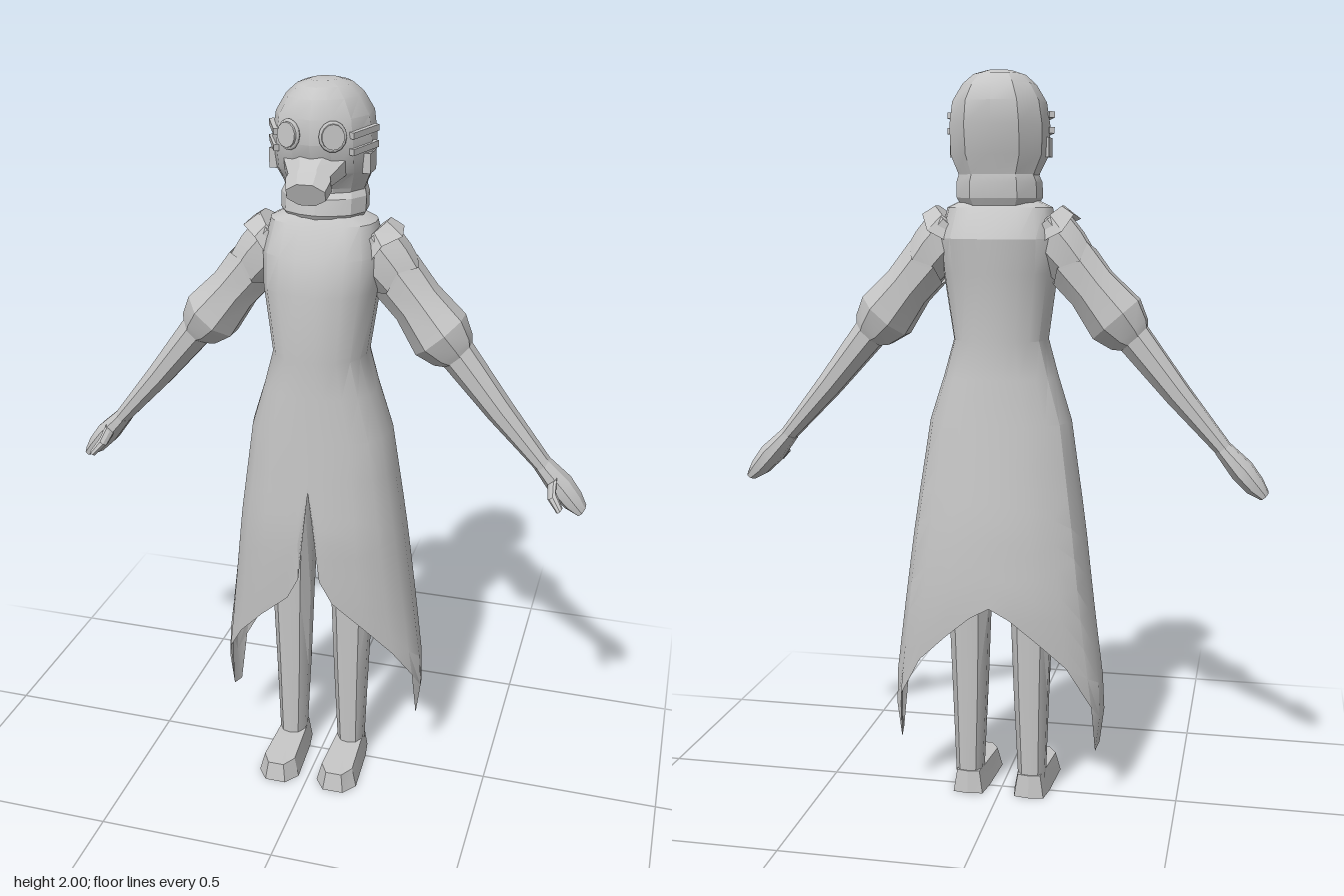
import * as THREE from 'three';
import { toCreasedNormals } from 'three/addons/utils/BufferGeometryUtils.js';

const grey = new THREE.MeshStandardMaterial({ color: 0xc6c6c6, side: THREE.DoubleSide });
grey.name = 'plain grey';

// Skin closed rings of [x, y, z] points, with optional caps
function loft(rings, { start = true, end = true, crease = 0.6 } = {}) {
  const pos = [], n = rings[0].length, last = rings.length - 1;
  const tri = (a, b, c) => pos.push(...a, ...b, ...c);
  for (let i = 0; i < last; i++) {
    for (let j = 0; j < n; j++) {
      const k = (j + 1) % n;
      const a = rings[i][j], b = rings[i][k], c = rings[i + 1][k], d = rings[i + 1][j];
      tri(a, b, c);
      tri(a, c, d);
    }
  }
  const middle = r => [0, 1, 2].map(k => r.reduce((s, p) => s + p[k], 0) / n);
  for (let j = 0; j < n; j++) {
    const k = (j + 1) % n;
    if (start) tri(middle(rings[0]), rings[0][k], rings[0][j]);
    if (end) tri(middle(rings[last]), rings[last][j], rings[last][k]);
  }
  const g = new THREE.BufferGeometry();
  g.setAttribute('position', new THREE.Float32BufferAttribute(pos, 3));
  g.computeVertexNormals();
  return toCreasedNormals(g, crease);
}

function add(parent, name, geometry) {
  const mesh = new THREE.Mesh(geometry, grey);
  mesh.name = name;
  parent.add(mesh);
  return mesh;
}

// Complete a half outline (front to back) into a full ring
const wholeRing = half => [...half, ...half.slice(1, -1).reverse().map(([u, ...r]) => [-u, ...r])];

// Horizontal ring from half width, front z and back z
const levelRing = (outline, [y, w, f, b]) =>
  outline.map(([u, v]) => [u * w, y, (f + b) / 2 + v * (f - b) / 2]);

// Body size at a height, interpolated between levels
function sizeAt(levels, y) {
  let i = 0;
  while (i < levels.length - 2 && y < levels[i + 1][0]) i++;
  const a = levels[i], b = levels[i + 1];
  const t = THREE.MathUtils.clamp((a[0] - y) / (a[0] - b[0]), 0, 1);
  return [y, ...[1, 2, 3].map(k => a[k] + (b[k] - a[k]) * t)];
}

// Long coat: outline columns carry their own hem height
function coat() {
  const columns = wholeRing([
    [0, 1, 0.93], [0.12, 0.995, 0.66], [0.25, 0.98, 0.59], [0.55, 0.89, 0.51], [0.8, 0.69, 0.42],
    [0.94, 0.42, 0.33], [1, 0.1, 0.17], [0.98, -0.3, 0.16], [0.9, -0.57, 0.3],
    [0.72, -0.77, 0.42], [0.45, -0.92, 0.5], [0.2, -0.985, 0.56], [0, -1, 0.59],
  ]);
  const levels = [
    [1.67, 0.1, 0.055, -0.1], [1.65, 0.14, 0.07, -0.12], [1.57, 0.158, 0.11, -0.16],
    [1.48, 0.152, 0.13, -0.15], [1.3, 0.127, 0.123, -0.127], [1.2, 0.155, 0.126, -0.135],
    [1.08, 0.193, 0.13, -0.148], [0.8, 0.235, 0.14, -0.18], [0.6, 0.26, 0.127, -0.19],
    [0.5, 0.273, 0.115, -0.183], [0.3, 0.3, 0.09, -0.16], [0.16, 0.283, 0.08, -0.15],
  ];
  const rings = levels.slice(0, 7).map(l => levelRing(columns, l));
  for (let i = 0; i <= 8; i++) {
    rings.push(columns.map(c => {
      const y = 0.97 + (c[2] - 0.97) * i / 8;
      return levelRing([c], sizeAt(levels, y))[0];
    }));
  }
  return loft(rings.reverse(), { start: false, crease: 0.5 });
}

// Eight-sided ring across the arm; jag pushes alternate points along it
function armRing([x, y, z, a, b, jag = 0]) {
  return Array.from({ length: 8 }, (_, i) => {
    const t = (i + 0.5) / 8 * Math.PI * 2;
    const p = Math.cos(t) * a * 1.08, q = -Math.sin(t) * b * 1.08, s = (i % 2 ? 1 : -1) * jag;
    return [x + p * 0.75 + s * 0.66, y + p * 0.66 - s * 0.75, z + q];
  });
}
const armPart = (sections, opts) => loft(sections.map(armRing), { crease: 0.4, ...opts });

function makeArm() {
  const arm = new THREE.Group();
  add(arm, 'shoulderSleeve', armPart([
    [0.115, 1.6, -0.035, 0.075, 0.065], [0.17, 1.54, -0.035, 0.07, 0.068],
    [0.215, 1.485, -0.035, 0.06, 0.06],
  ]));
  add(arm, 'shoulderFlap', armPart([
    [0.125, 1.615, -0.035, 0.06, 0.055], [0.15, 1.575, -0.035, 0.078, 0.075, 0.008],
  ], { end: false }));
  add(arm, 'elbowSleeve', armPart([
    [0.195, 1.505, -0.035, 0.07, 0.066, 0.012], [0.25, 1.44, -0.035, 0.065, 0.066],
    [0.315, 1.36, -0.03, 0.078, 0.08], [0.35, 1.32, -0.03, 0.06, 0.06],
    [0.365, 1.305, -0.03, 0.042, 0.048],
  ], { start: false }));
  add(arm, 'forearm', armPart([
    [0.35, 1.325, -0.03, 0.046, 0.05], [0.48, 1.165, -0.032, 0.034, 0.044],
    [0.61, 1.015, -0.035, 0.021, 0.034],
  ]));
  add(arm, 'hand', armPart([
    [0.6, 1.025, -0.035, 0.022, 0.034], [0.655, 0.965, -0.037, 0.031, 0.046],
    [0.69, 0.925, -0.037, 0.026, 0.042], [0.715, 0.9, -0.037, 0.014, 0.034],
  ]));
  add(arm, 'thumb', armPart([
    [0.635, 0.99, -0.005, 0.015, 0.018], [0.64, 0.965, 0.035, 0.013, 0.017],
    [0.665, 0.935, 0.056, 0.009, 0.014],
  ]));
  return arm;
}

function makeLeg() {
  const leg = new THREE.Group();
  const outline = wholeRing([[0, 1], [0.6, 0.9], [1, 0.35], [1, -0.35], [0.6, -0.9], [0, -1]]);
  const shift = (ring, dx) => ring.map(([x, y, z]) => [x + dx, y, z]);
  add(leg, 'trouserLeg', loft([
    shift(levelRing(outline, [0.05, 0.038, 0.03, -0.055]), 0.09),
    shift(levelRing(outline, [0.3, 0.048, 0.037, -0.065]), 0.088),
    shift(levelRing(outline, [0.55, 0.057, 0.045, -0.075]), 0.088),
    shift(levelRing(outline, [0.95, 0.07, 0.06, -0.09]), 0.08),
  ]));
  // Boot with clipped toe and lower front
  const boot = wholeRing([[0, 1], [0.5, 1], [1, 0.68], [0.85, -0.5], [0.7, -0.95], [0, -1]]);
  const sole = shift(levelRing(boot, [0, 0.06, 0.19, -0.065]), 0.088);
  const top = shift(levelRing(boot, [0.065, 0.046, 0.18, -0.06]), 0.088)
    .map(([x, y, z]) => [x, z > 0.1 ? 0.055 : y, z]);
  add(leg, 'boot', loft([sole, top], { crease: 0.3 }));
  return leg;
}

function makeHead() {
  const head = new THREE.Group();
  head.name = 'head';
  const outline = wholeRing([
    [0, 1], [0.38, 0.91], [0.76, 0.66], [1, 0.15], [0.94, -0.5], [0.55, -0.93], [0, -1],
  ]);
  add(head, 'hood', loft([
    [1.66, 0.085, 0.03, -0.11], [1.74, 0.108, 0.045, -0.125], [1.785, 0.128, 0.085, -0.14],
    [1.86, 0.13, 0.11, -0.155], [1.92, 0.121, 0.104, -0.157], [1.965, 0.094, 0.086, -0.137],
    [1.99, 0.066, 0.06, -0.11], [2, 0.035, 0.02, -0.07],
  ].map(l => levelRing(outline, l)), { crease: 0.5 }));
  add(head, 'collar', loft([
    [1.655, 0.1, 0.055, -0.115], [1.675, 0.113, 0.066, -0.125],
    [1.715, 0.113, 0.058, -0.128], [1.735, 0.105, 0.035, -0.125],
  ].map(l => levelRing(outline, l)), { crease: 0.35 }));

  // Tilted breathing snout
  const snoutRing = ([y, z, w, h, tilt]) => Array.from({ length: 8 }, (_, i) => {
    const t = (i + 0.5) / 8 * Math.PI * 2;
    return [Math.cos(t) * w * 1.08, y + Math.sin(t) * h * 1.08, z + Math.sin(t) * tilt];
  });
  add(head, 'snout', loft([
    [1.8, 0.06, 0.08, 0.045, 0.015], [1.775, 0.105, 0.054, 0.033, 0.015],
    [1.765, 0.115, 0.058, 0.034, 0.015], [1.745, 0.14, 0.05, 0.028, 0.012],
  ].map(snoutRing), { crease: 0.3 }));

  for (const s of [-1, 1]) {
    const side = s > 0 ? 'left' : 'right';
    const goggle = new THREE.Group();
    goggle.name = side + 'Goggle';
    goggle.position.set(s * 0.056, 1.882, 0.096);
    goggle.rotation.set(-0.05, s * 0.4, 0);
    goggle.scale.y = 1.1;
    add(goggle, 'goggleRim', new THREE.TorusGeometry(0.029, 0.006, 6, 14));
    add(goggle, 'goggleLens', new THREE.CylinderGeometry(0.028, 0.03, 0.022, 14)).rotation.x = Math.PI / 2;
    head.add(goggle);
    // Mask straps and cheek pad
    for (const y of [1.845, 1.885]) {
      const strap = add(head, side + 'Strap', new THREE.BoxGeometry(0.014, 0.016, 0.1));
      strap.position.set(s * 0.117, y, 0.024);
      strap.rotation.set(0.08, -s * 0.42, 0);
    }
    const pad = add(head, side + 'CheekPad', new THREE.BoxGeometry(0.02, 0.05, 0.06));
    pad.position.set(s * 0.122, 1.805, -0.01);
  }
  return head;
}

export function createModel() {
  const model = new THREE.Group();
  model.name = 'maskedFigure';
  add(model, 'coat', coat());
  model.add(makeHead());
  for (const s of [1, -1]) {
    const side = s > 0 ? 'left' : 'right';
    const arm = makeArm(), leg = makeLeg();
    arm.name = side + 'Arm';
    leg.name = side + 'Leg';
    arm.scale.x = leg.scale.x = s;
    model.add(arm, leg);
  }
  return model;
}
